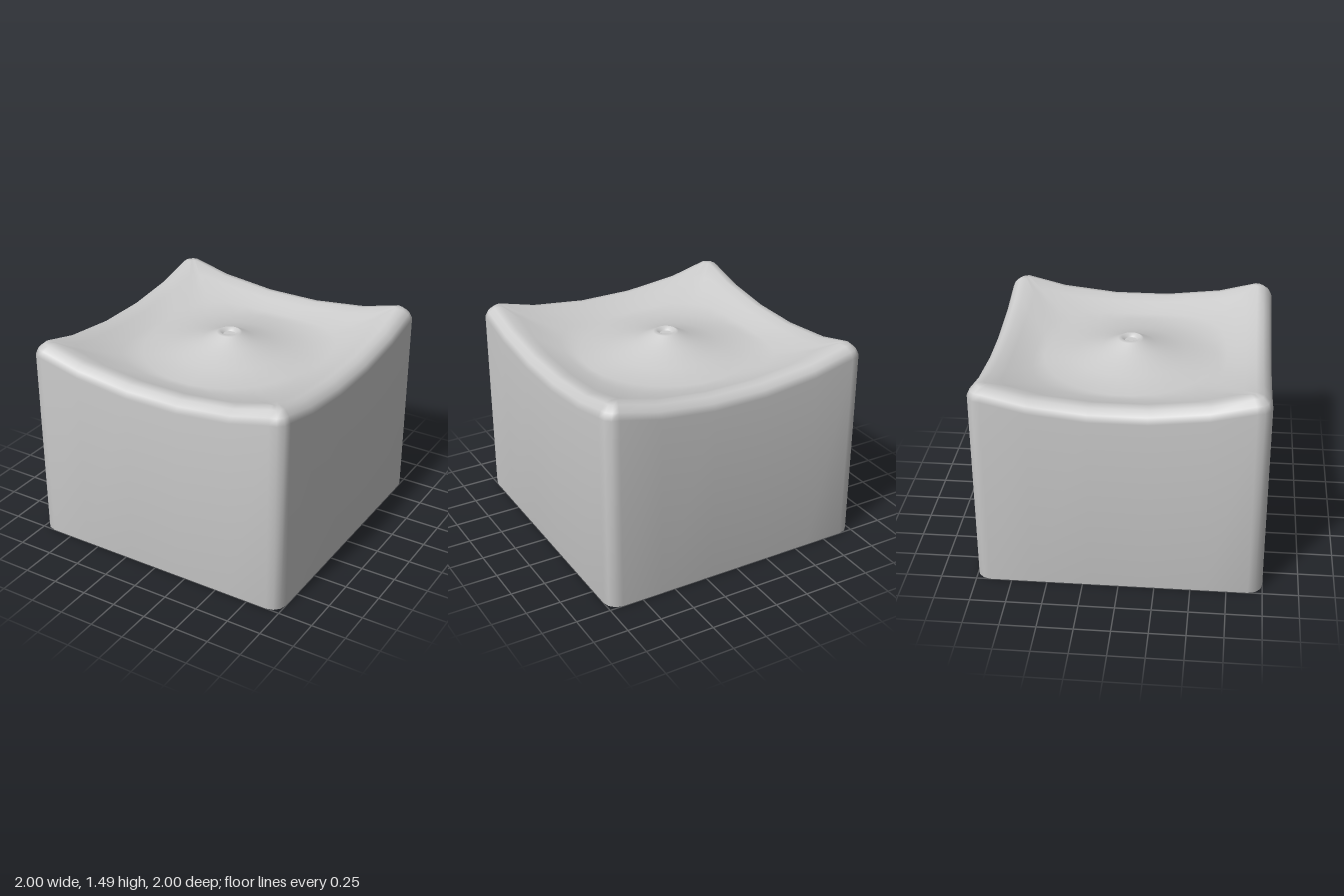
import * as THREE from 'three';

const SIDE_POINTS = [-0.6, -0.2, 0.2, 0.6];
const PER_SIDE = 8;
const COUNT = PER_SIDE * 4;

// point i of a rounded square pulled in by inset; u is its distance from the middle of its side
function outlinePoint(i, inset) {
  const side = Math.floor(i / PER_SIDE), j = i % PER_SIDE;
  const half = 1 - inset, r = Math.max(0.1 - inset * 0.6, 0.03);
  let x = half, z, u = 0.9;
  if (j < 4) {
    z = SIDE_POINTS[j];
    u = Math.abs(z);
  } else {
    const a = (j - 4) * Math.PI / 6;
    x = half - r + r * Math.cos(a);
    z = half - r + r * Math.sin(a);
  }
  const t = side * Math.PI / 2, c = Math.cos(t), s = Math.sin(t);
  return { x: x * c - z * s, z: x * s + z * c, rim: 1.375 + 0.15 * Math.pow(u, 2.2) };
}

function circlePoint(i, r) {
  const a = (Math.floor(i / PER_SIDE) * PER_SIDE + (i % PER_SIDE) - 1.5) * 2 * Math.PI / COUNT;
  return { x: r * Math.cos(a), z: r * Math.sin(a) };
}

// skin closed rings, listed from the underside up and over to the centre of the top
function skin(rings) {
  const index = [];
  for (let k = 0; k < rings.length - 1; k++) {
    for (let i = 0; i < COUNT; i++) {
      const n = (i + 1) % COUNT;
      const a = k * COUNT + i, b = k * COUNT + n, c = a + COUNT, d = b + COUNT;
      index.push(a, c, b, b, c, d);
    }
  }
  const g = new THREE.BufferGeometry();
  g.setAttribute('position', new THREE.Float32BufferAttribute(rings.flat(2), 3));
  g.setIndex(index);
  g.computeVertexNormals();
  return g;
}

export function createModel() {
  const rings = [];
  const addRing = (fn) => rings.push(Array.from({ length: COUNT }, (_, i) => fn(i)));

  // flat underside
  addRing(() => [0, 0, 0]);
  for (const inset of [0.15, 0]) {
    addRing((i) => { const p = outlinePoint(i, inset); return [p.x, 0, p.z]; });
  }

  // walls and rounded rim: inset, drop below the rim
  for (const [inset, drop] of [[0, 0.085], [0.02, 0.04], [0.06, 0.006], [0.11, 0]]) {
    addRing((i) => { const p = outlinePoint(i, inset); return [p.x, p.rim - drop, p.z]; });
  }

  // dished top, from the square rim to a round trough
  const troughR = 0.62, troughY = 1.30;
  for (const s of [0.75, 0.5, 0.25]) {
    addRing((i) => {
      const p = outlinePoint(i, 0.11), q = circlePoint(i, troughR);
      return [
        THREE.MathUtils.lerp(q.x, p.x, s),
        troughY + (p.rim - troughY) * Math.pow(s, 1.4),
        THREE.MathUtils.lerp(q.z, p.z, s),
      ];
    });
  }

  // central cone with a small pitted tip: radius, height
  const cone = [[troughR, troughY], [0.4, 1.325], [0.2, 1.38], [0.09, 1.435],
    [0.07, 1.445], [0.045, 1.42], [0.042, 1.419], [0, 1.419]];
  for (const [r, y] of cone) {
    addRing((i) => { const q = circlePoint(i, r); return [q.x, y, q.z]; });
  }

  const block = new THREE.Mesh(skin(rings), new THREE.MeshStandardMaterial({ color: 0xcccccc }));
  block.name = 'dishedBlock';
  const group = new THREE.Group();
  group.name = 'dishedBlockWithNub';
  group.add(block);
  return group;
}
